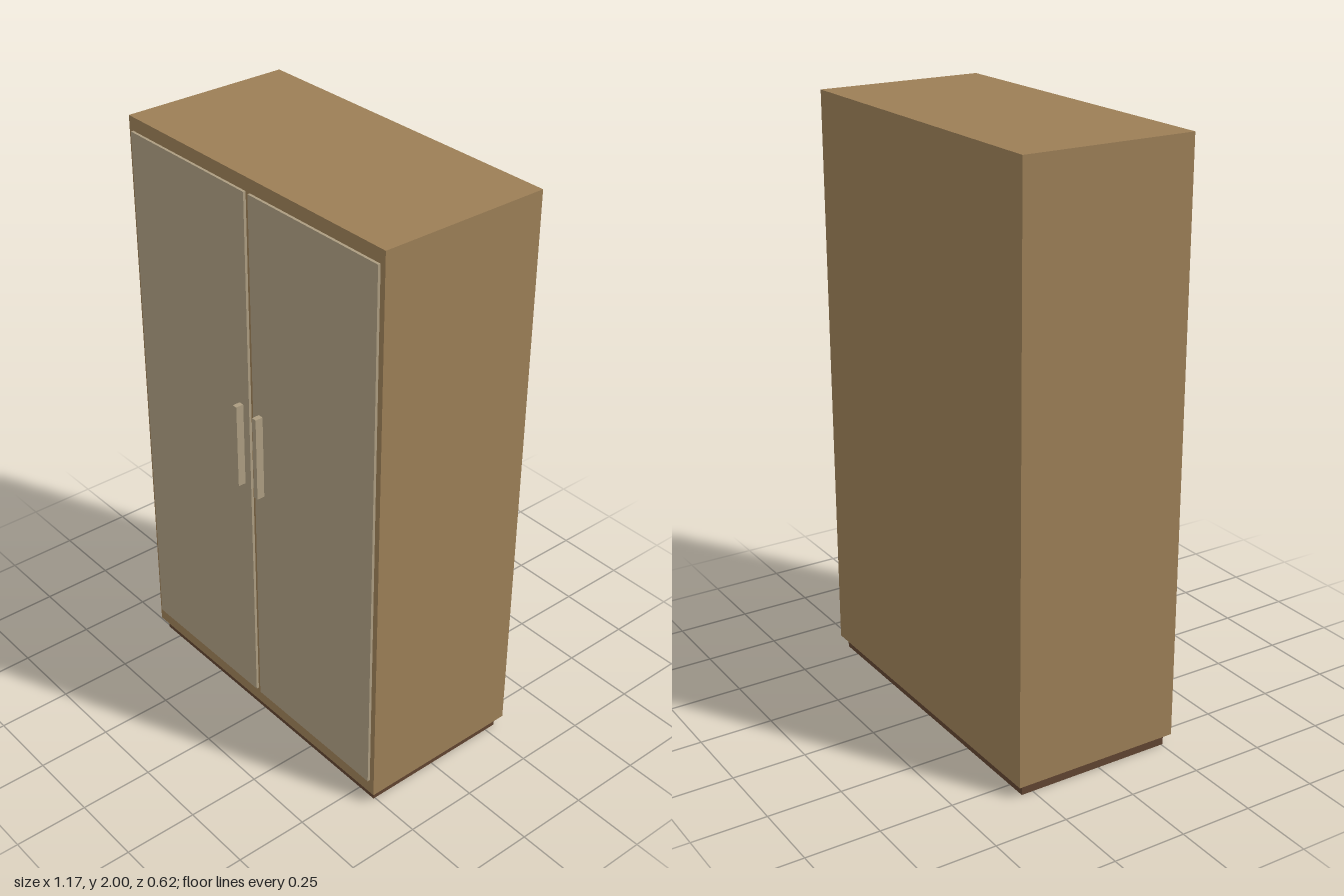
import * as THREE from 'three';

const material = (name, color) => {
  const m = new THREE.MeshStandardMaterial({ color });
  m.name = name;
  return m;
};

// Box given by its minimum and maximum corners
function box(name, mat, [x0, y0, z0], [x1, y1, z1]) {
  const mesh = new THREE.Mesh(new THREE.BoxGeometry(x1 - x0, y1 - y0, z1 - z0), mat);
  mesh.position.set((x0 + x1) / 2, (y0 + y1) / 2, (z0 + z1) / 2);
  mesh.name = name;
  return mesh;
}

export function createModel() {
  const wood = material('oak wood', 0x9b7e56);
  const panel = material('pale door', 0xab9c80);
  const dark = material('dark plinth', 0x604430);

  const wardrobe = new THREE.Group();
  wardrobe.name = 'wardrobe';

  // Recessed plinth and cabinet body
  wardrobe.add(
    box('plinth', dark, [-0.568, 0, -0.29], [0.568, 0.041, 0.256]),
    box('cabinet', wood, [-0.587, 0.041, -0.31], [0.587, 2, 0.274])
  );

  // Mirrored doors, each with an upright bar handle near the middle
  for (const [side, s] of [['left', 1], ['right', -1]]) {
    const span = (a, b) => (s > 0 ? [a, b] : [-b, -a]);
    const [d0, d1] = span(0.01, 0.568);
    const [h0, h1] = span(0.039, 0.057);
    wardrobe.add(
      box(side + 'Door', panel, [d0, 0.094, 0.274], [d1, 1.955, 0.283]),
      box(side + 'Handle', panel, [h0, 0.936, 0.283], [h1, 1.23, 0.31])
    );
  }
  return wardrobe;
}
